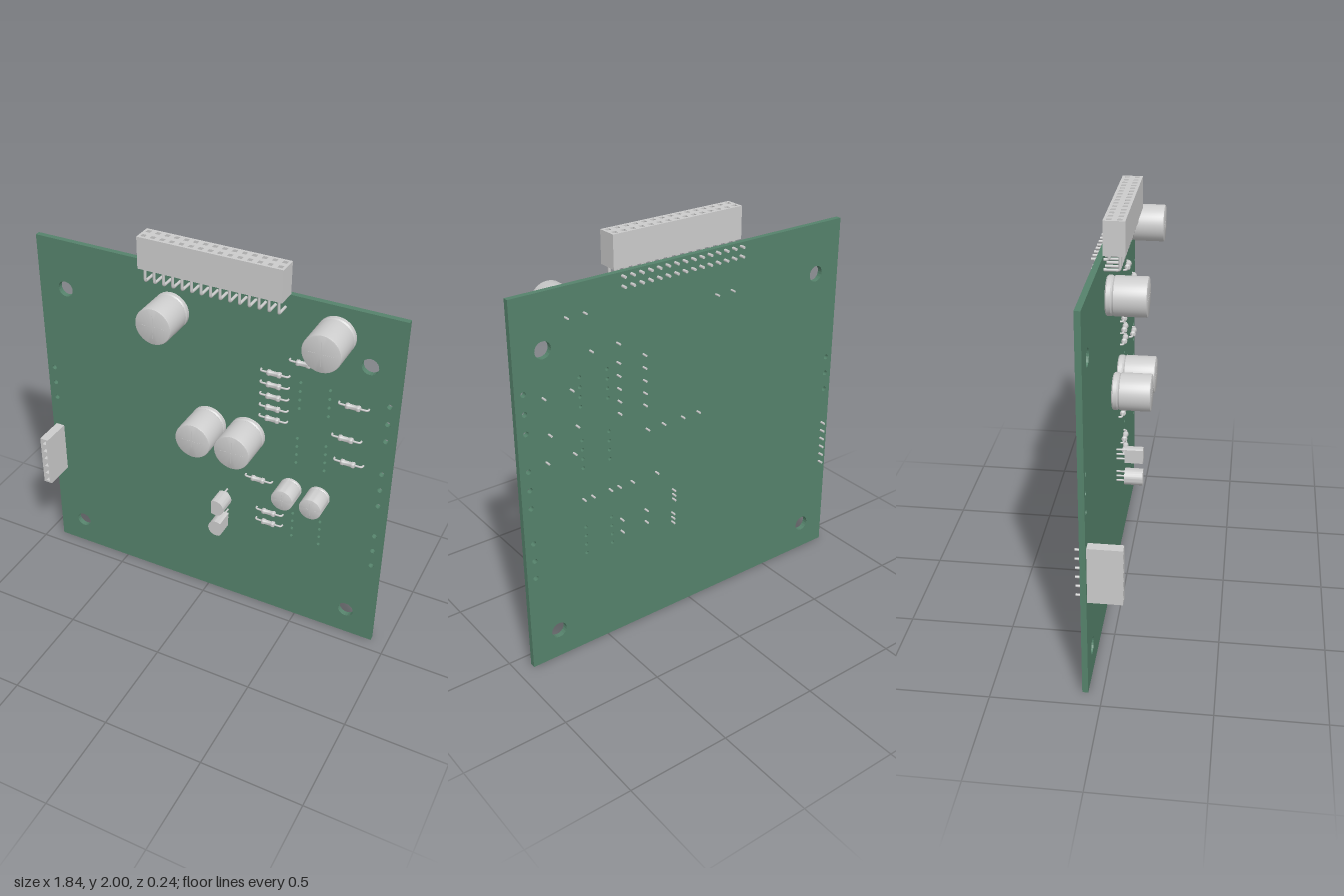
import * as THREE from 'three';
import { toCreasedNormals, mergeGeometries } from 'three/addons/utils/BufferGeometryUtils.js';

const FACE = -0.066, BACK = -0.093, TIP = -0.119, PITCH = 0.0468;
const V = (x, y, z) => new THREE.Vector3(x, y, z);

export function createModel() {
  const model = new THREE.Group();
  const grey = new THREE.MeshStandardMaterial({ color: 0xcccccc });
  const green = new THREE.MeshStandardMaterial({ color: 0x55826b });

  const add = (parent, name, geo, mat = grey) => {
    const mesh = new THREE.Mesh(geo, mat);
    mesh.name = name;
    parent.add(mesh);
    return mesh;
  };
  const group = (name, x, y, z = 0) => {
    const g = new THREE.Group();
    g.name = name;
    g.position.set(x, y, z);
    model.add(g);
    return g;
  };
  const box = (w, h, d, x, y, z) => new THREE.BoxGeometry(w, h, d).translate(x, y, z);
  const rectangle = (Type, x, y, w, h) => {
    const s = new Type();
    s.moveTo(x - w / 2, y - h / 2).lineTo(x + w / 2, y - h / 2);
    s.lineTo(x + w / 2, y + h / 2).lineTo(x - w / 2, y + h / 2).closePath();
    return s;
  };

  // Round lead along z, from one depth to another
  const pin = (x, y, z0, z1, r = 0.005) =>
    new THREE.CylinderGeometry(r, r, Math.abs(z1 - z0), 8).rotateX(Math.PI / 2).translate(x, y, (z0 + z1) / 2);

  // Lead that runs from a to b to c with a small rounded bend at b
  const bentLead = (a, b, c, r = 0.005, bend = 0.012) => {
    const p = b.clone().add(a.clone().sub(b).setLength(bend));
    const q = b.clone().add(c.clone().sub(b).setLength(bend));
    const tube = (curve, n) => new THREE.TubeGeometry(curve, n, r, 8);
    const end = pin(c.x, c.y, c.z, c.z + 0.001, r);
    return mergeGeometries([
      tube(new THREE.LineCurve3(a, p), 1),
      tube(new THREE.QuadraticBezierCurve3(p, b, q), 4),
      tube(new THREE.LineCurve3(q, c), 1), end,
    ]);
  };

  // Circuit board with mounting holes and empty component holes
  const outline = rectangle(THREE.Shape, 0, 0.92, 1.84, 1.84);
  const hole = (x, y, r) => outline.holes.push(new THREE.Path().absarc(x, y, r, 0, Math.PI * 2, true));
  for (const x of [-0.775, 0.772]) for (const y of [0.148, 1.585]) hole(x, y, 0.04);
  for (const y of [1.113, 1.023, 0.932]) hole(-0.882, y, 0.013);
  for (const top of [1.41, 1.041, 0.673])
    for (let i = 0; i < 3; i++) hole(0.877, top - i * 0.0925, 0.013);
  for (const top of [1.414, 1.107, 0.656])
    for (let i = 0; i < 4; i++) for (const x of [0.458, 0.601]) hole(x, top - i * PITCH, 0.0085);
  const board = new THREE.ExtrudeGeometry(outline, { depth: FACE - BACK, bevelEnabled: false, curveSegments: 10 });
  add(model, 'circuitBoard', board.translate(0, 0, BACK), green);

  // Socket housing facing +z: solid base with a pierced front block
  const socket = (w, h, d, columns, rows) => {
    const s = rectangle(THREE.Shape, 0, 0, w, h);
    for (let i = 0; i < columns; i++) for (let j = 0; j < rows; j++)
      s.holes.push(rectangle(THREE.Path, (i - (columns - 1) / 2) * PITCH, (j - (rows - 1) / 2) * PITCH, 0.022, 0.022));
    const depth = d * 0.5;
    return mergeGeometries([
      new THREE.ExtrudeGeometry(s, { depth, bevelEnabled: false }).translate(0, 0, d - depth).toNonIndexed(),
      box(w, h, d - depth, 0, 0, (d - depth) / 2).toNonIndexed(),
    ]);
  };

  // Two-row edge connector with right-angled pins
  const edge = group('edgeConnector', 0.0385, 0);
  add(edge, 'edgeSocket', socket(0.703, 0.096, 0.155, 15, 2).rotateX(-Math.PI / 2).translate(0, 1.845, -0.018));
  const edgePins = [];
  for (let i = 0; i < 15; i++) {
    const x = (i - 7) * PITCH;
    for (const [z, y] of [[-0.042, 1.822], [0.005, 1.776]])
      edgePins.push(bentLead(V(x, 1.85, z), V(x, y, z), V(x, y, TIP), 0.007));
  }
  add(edge, 'edgePins', mergeGeometries(edgePins));

  // Six-way upright socket on the side
  const side = group('sideConnector', -0.878, 0.6215);
  add(side, 'sideSocket', socket(0.046, 0.278, 0.156, 1, 6).translate(0, 0, FACE));
  const sidePins = [];
  for (let i = 0; i < 6; i++) sidePins.push(pin(0, (i - 2.5) * PITCH, FACE, TIP, 0.006));
  add(side, 'sidePins', mergeGeometries(sidePins));

  // Can capacitors: rolled rim, crimp groove near the base, scored top
  const capacitor = (x, y, r, front, spread) => {
    const g = group('capacitor', x, y, FACE);
    const h = front - FACE, k = r / 0.091;
    const profile = [
      [0, 0], [r - 0.006 * k, 0], [r, 0.006 * k], [r, 0.024 * k], [r - 0.005 * k, 0.031 * k], [r, 0.038 * k],
      [r, h - 0.007 * k], [r - 0.002 * k, h - 0.002 * k], [r - 0.007 * k, h], [0, h],
    ].map(([a, b]) => new THREE.Vector2(a, b));
    const can = new THREE.LatheGeometry(profile, 40).rotateX(Math.PI / 2);
    add(g, 'capacitorCan', toCreasedNormals(can, 0.6));
    add(g, 'ventCross', mergeGeometries([
      box(r * 1.3, 0.002, 0.001, 0, 0, h), box(0.002, r * 1.3, 0.001, 0, 0, h)]));
    add(g, 'capacitorLeads', mergeGeometries([-spread, spread].map(s => pin(s, 0, 0.002, TIP - FACE))));
  };
  for (const [x, y] of [[-0.193, 1.622], [0.612, 1.704], [0.003, 1.057], [0.207, 1.057]])
    capacitor(x, y, 0.091, 0.12, 0.046);
  for (const x of [0.442, 0.586]) capacitor(x, 0.811, 0.056, 0.051, 0.024);

  // Axial resistors: waisted body with leads bent through the board
  const bodyProfile = [[0, -0.035], [0.011, -0.035], [0.015, -0.031], [0.015, -0.021], [0.012, -0.016],
    [0.012, 0.016], [0.015, 0.021], [0.015, 0.031], [0.011, 0.035], [0, 0.035]];
  const resistorBody = toCreasedNormals(
    new THREE.LatheGeometry(bodyProfile.map(([a, b]) => new THREE.Vector2(a, b)), 16).rotateZ(Math.PI / 2), 0.9);
  const resistorLeads = mergeGeometries([-1, 1].map(s =>
    bentLead(V(s * 0.033, 0, 0), V(s * 0.07, 0, 0), V(s * 0.07, 0, TIP + 0.05))));
  const resistors = [[0.472, 1.524], [0.334, 1.433], [0.334, 1.37], [0.334, 1.307], [0.334, 1.245], [0.334, 1.184],
    [0.717, 1.37], [0.697, 1.19], [0.717, 1.06], [0.273, 0.811], [0.337, 0.628], [0.337, 0.562]];
  for (const [x, y] of resistors) {
    const g = group('resistor', x, y, -0.05);
    add(g, 'resistorBody', resistorBody);
    add(g, 'resistorLeads', resistorLeads);
  }

  // Transistors: D-shaped body standing on three legs
  const transistor = (x, y, turn) => {
    const g = group('transistor', x, y);
    g.rotation.z = turn;
    const r = 0.043, a = Math.acos(-0.52);
    const d = new THREE.Shape().absarc(0, 0, r, -a, a, false);
    d.closePath();
    const body = new THREE.ExtrudeGeometry(d, { depth: 0.093, bevelEnabled: false, curveSegments: 24 });
    add(g, 'transistorBody', toCreasedNormals(body.translate(0, 0, -0.023), 0.6));
    add(g, 'transistorLegs', mergeGeometries([-1, 0, 1].map(i => pin(0, i * 0.026, -0.02, TIP))));
  };
  transistor(0.103, 0.654, 0);
  transistor(0.108, 0.525, Math.PI);

  return model;
}
